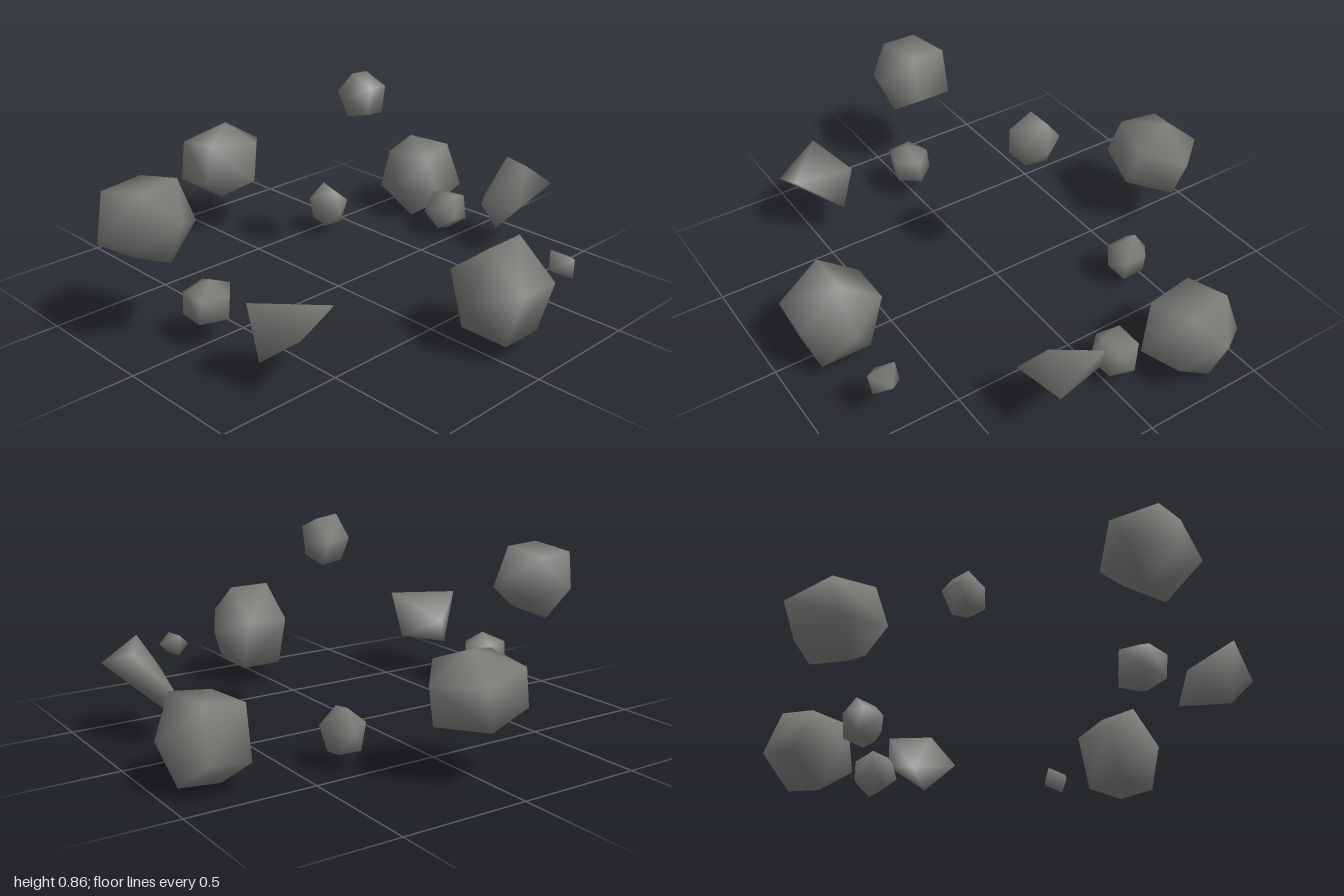
import * as THREE from 'three';
import { mergeVertices } from 'three/addons/utils/BufferGeometryUtils.js';
import { ConvexGeometry } from 'three/addons/geometries/ConvexGeometry.js';

// Weld shared corners so the shading runs smoothly over the whole stone
function smooth(geometry) {
  geometry.deleteAttribute('normal');
  geometry.deleteAttribute('uv');
  const welded = mergeVertices(geometry, 1e-4);
  welded.computeVertexNormals();
  return welded;
}

// Five-sided low-poly boulder: axis runs pole to pole, corner is the direction
// of one side edge, and the result is fitted between two opposite box corners
function boulder(axis, corner, min, max) {
  const geometry = new THREE.SphereGeometry(1, 5, 3);
  const y = new THREE.Vector3(...axis).normalize();
  const z = new THREE.Vector3().crossVectors(new THREE.Vector3(...corner), y).normalize();
  const x = new THREE.Vector3().crossVectors(y, z);
  // the first meridian of the sphere lies on -x
  geometry.applyMatrix4(new THREE.Matrix4().makeBasis(x.negate(), y, z.negate()));
  return fit(geometry, min, max);
}

// Stretch and move a geometry to fill a box
function fit(geometry, min, max) {
  geometry.computeBoundingBox();
  const from = geometry.boundingBox;
  const to = new THREE.Box3(new THREE.Vector3(...min), new THREE.Vector3(...max));
  const size = from.getSize(new THREE.Vector3());
  const scale = to.getSize(new THREE.Vector3()).divide(size);
  const centre = from.getCenter(new THREE.Vector3());
  const target = to.getCenter(new THREE.Vector3());
  geometry.translate(-centre.x, -centre.y, -centre.z);
  geometry.scale(scale.x, scale.y, scale.z);
  geometry.translate(target.x, target.y, target.z);
  return smooth(geometry);
}

// Angular shard spanned by a few corner points
function shard(points) {
  return smooth(new ConvexGeometry(points.map((p) => new THREE.Vector3(...p))));
}

export function createModel() {
  const model = new THREE.Group();
  model.name = 'floatingRocks';
  const stone = new THREE.MeshStandardMaterial({ color: 0x7c7c79 });
  stone.name = 'stone grey';

  const add = (name, geometry) => {
    const mesh = new THREE.Mesh(geometry, stone);
    mesh.name = name;
    model.add(mesh);
  };

  // Large boulders
  add('rightBoulder', boulder([-0.16, 1, -0.2], [0, 0, -1], [-0.94, 0.175, -0.245], [-0.61, 0.49, 0.13]));
  add('backBoulder', boulder([0.15, -0.15, 1], [0, -1, 0], [-0.485, 0, -1], [-0.13, 0.335, -0.65]));
  add('frontBoulder', boulder([1, 0.15, -0.2], [0, -1, 0], [-0.28, 0.345, 0.66], [0.06, 0.65, 1]));
  add('leftBoulder', boulder([0, 0, 1], [0, 1, 0], [0.605, 0.085, -0.24], [0.935, 0.43, 0.115]));

  // Small stones
  add('topStone', boulder([0.1, 0.1, 1], [-0.25, 1, 0], [-0.14, 0.67, -0.265], [0.035, 0.855, -0.085]));
  add('innerStone', boulder([1, -0.15, 0.1], [0, 1, 0], [-0.5, 0.06, -0.41], [-0.325, 0.235, -0.26]));
  add('backStone', boulder([0.2, 0.3, 1], [0, -1, 0], [-0.135, 0.02, -0.81], [0.04, 0.2, -0.625]));
  add('frontStone', boulder([0.1, 1, 0], [0, 0, -1], [-0.07, 0.085, 0.57], [0.1, 0.27, 0.745]));

  // Angular shards
  add('frontShard', shard([
    [0.3, 0.26, 0.66], [0.415, 0.19, 0.525], [0.59, 0.35, 0.59],
    [0.597, 0.28, 0.745], [0.4, 0.365, 0.805], [0.41, 0.13, 0.765],
  ]));
  add('backShard', shard([
    [0.095, 0.21, -0.81], [0.15, 0.375, -0.88], [0.36, 0.3, -0.92], [0.37, 0.25, -0.68],
    [0.23, 0.11, -0.72], [0.32, 0.4, -0.79], [0.15, 0.2, -0.715],
  ]));

  // Tiny eight-faced pebble
  const pebble = new THREE.OctahedronGeometry(1);
  pebble.rotateZ(0.7).rotateX(0.12);
  add('pebble', fit(pebble, [0.705, 0.17, -0.505], [0.825, 0.262, -0.37]));

  return model;
}
